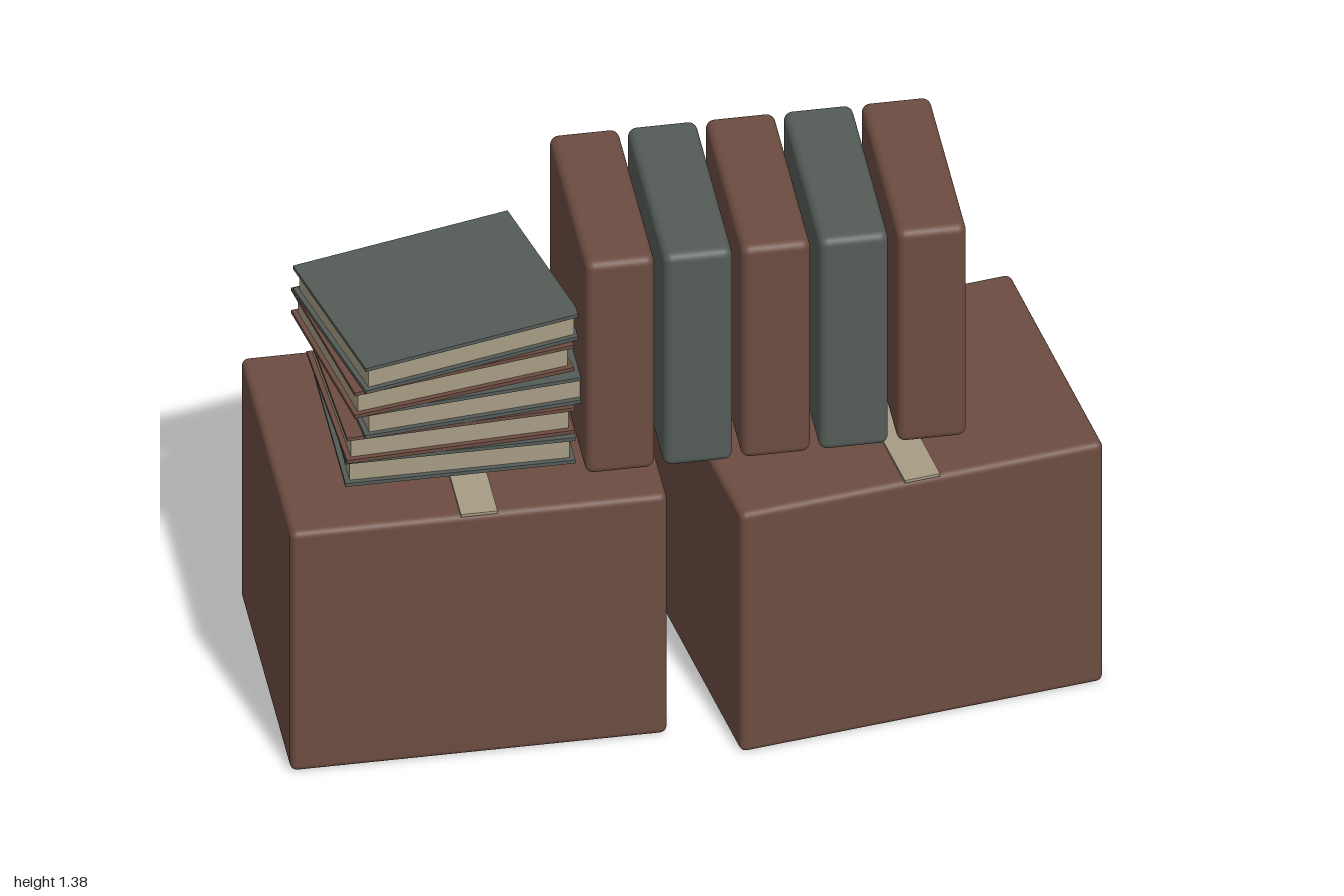
import * as THREE from 'three';
import { RoundedBoxGeometry } from 'three/addons/geometries/RoundedBoxGeometry.js';

function material(name, color) {
  const m = new THREE.MeshStandardMaterial({ color });
  m.name = name;
  return m;
}

export function createModel() {
  const brown = material('brown card', 0x6c4c41);
  const green = material('grey green cloth', 0x545c58);
  const paper = material('paper tan', 0xa79c85);
  const ink = material('dark ink', 0x2f302e);

  const model = new THREE.Group();
  model.name = 'officeStorage';

  function add(parent, name, geometry, mat, x, y, z) {
    const mesh = new THREE.Mesh(geometry, mat);
    mesh.name = name;
    mesh.position.set(x, y, z);
    parent.add(mesh);
    return mesh;
  }
  function group(name, x, y, z, turn = 0) {
    const g = new THREE.Group();
    g.name = name;
    g.position.set(x, y, z);
    g.rotation.y = turn;
    model.add(g);
    return g;
  }
  const box = (w, h, d) => new THREE.BoxGeometry(w, h, d);

  // Cartons with tape over the top and down the back, and a ruled label
  const W = 0.925, H = 0.725, D = 0.725;
  function carton(name, x, z, turn) {
    const g = group(name, x, 0, z, turn);
    add(g, 'cartonBody', new RoundedBoxGeometry(W, H, D, 3, 0.018), brown, 0, H / 2, 0);
    add(g, 'topTape', box(0.09, 0.008, D), paper, 0, H + 0.003, 0);
    add(g, 'backTape', box(0.09, H, 0.006), paper, 0, H / 2, -D / 2 - 0.002);
    add(g, 'cartonLabel', box(0.28, 0.18, 0.008), paper, 0.2, 0.475, -D / 2 - 0.003);
    for (let i = -1; i <= 1; i++) {
      add(g, 'labelLine', box(0.185, 0.012, 0.004), ink, 0.2, 0.475 + i * 0.035, -D / 2 - 0.007);
    }
  }
  carton('rightCarton', -0.5375, -0.043, 0);
  carton('leftCarton', 0.49, 0, 0.15);

  // Row of binders with their spines to the back
  const binderBody = new RoundedBoxGeometry(0.17, 0.64, 0.54, 4, 0.022);
  for (let i = 0; i < 5; i++) {
    const g = group('binder', -0.175 + i * 0.1913, 0.74, -0.04);
    const cover = i % 2 ? green : brown;
    add(g, 'binderBody', binderBody, cover, 0, 0.32, 0);
    add(g, 'spineLabel', box(0.1, 0.18, 0.006), paper, 0, 0.46, -0.272);
    const hole = add(g, 'fingerHole', new THREE.CylinderGeometry(0.019, 0.019, 0.008, 20), green, 0, 0.15, -0.272);
    hole.rotation.x = Math.PI / 2;
    add(g, 'fingerHoleRim', new THREE.TorusGeometry(0.02, 0.005, 8, 24), ink, 0, 0.15, -0.276);
  }

  // Stack of books, each turned a little more than the one below: [x, turn]
  const books = [[-0.56, 0], [-0.57, 0.05], [-0.54, 0.1], [-0.59, 0.18], [-0.58, 0.235]];
  books.forEach(([x, turn], i) => {
    const g = group('book', x, 0.745 + i * 0.08, -0.045, turn);
    const cover = i % 2 ? brown : green;
    add(g, 'lowerCover', box(0.565, 0.01, 0.45), cover, 0, 0.005, 0);
    add(g, 'pages', box(0.54, 0.06, 0.425), paper, 0, 0.039, 0);
    add(g, 'upperCover', box(0.565, 0.01, 0.45), cover, 0, 0.073, 0);
  });

  return model;
}
